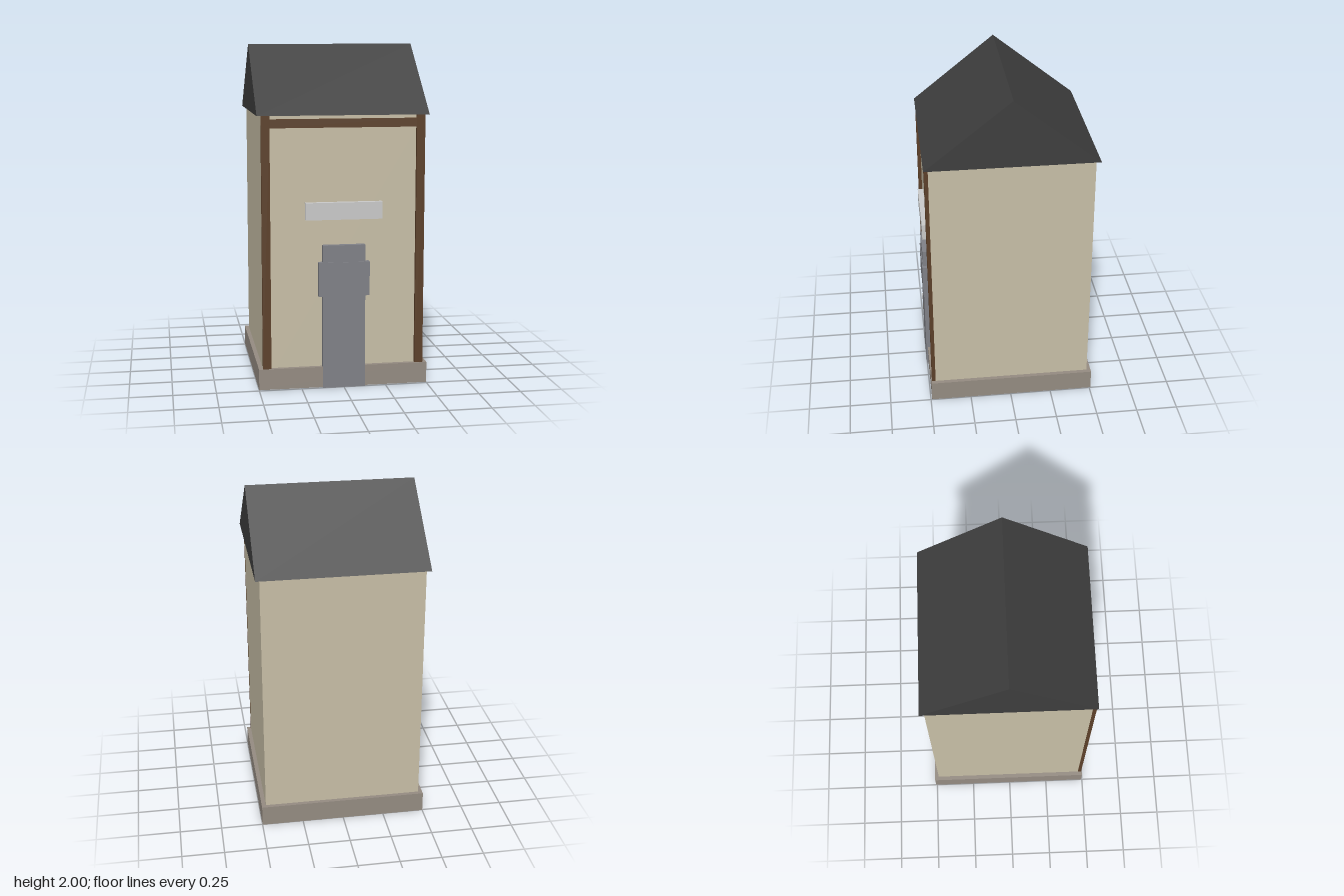
import * as THREE from 'three';

const material = (name, color) => {
  const m = new THREE.MeshStandardMaterial({ color });
  m.name = name;
  return m;
};

export function createModel() {
  const model = new THREE.Group();
  model.name = 'smallHouse';
  const plaster = material('cream plaster', 0xc8bfa7);
  const slate = material('dark slate', 0x3e3e3e);
  const timber = material('brown timber', 0x5c4029);
  const stone = material('grey stone', 0x958c82);
  const doorGrey = material('door grey', 0x808187);
  const signGrey = material('light sign grey', 0xcacaca);

  const zc = -0.0075; // centre of the house body

  // Box given by its minimum and maximum corners
  const box = (name, mat, [x0, y0, z0], [x1, y1, z1]) => {
    const mesh = new THREE.Mesh(new THREE.BoxGeometry(x1 - x0, y1 - y0, z1 - z0), mat);
    mesh.position.set((x0 + x1) / 2, (y0 + y1) / 2, (z0 + z1) / 2);
    mesh.name = name;
    model.add(mesh);
  };

  // Plinth and walls; the plinth sits a hair higher to keep the undersides apart
  box('plinth', stone, [-0.5, 0.002, zc - 0.5], [0.5, 0.125, zc + 0.5]);
  box('walls', plaster, [-0.475, 0, zc - 0.475], [0.475, 1.6, zc + 0.475]);

  // Timber frame on the front wall
  for (const side of [-1, 1]) {
    const inner = side * 0.427, outer = side * 0.476;
    box(side > 0 ? 'leftPost' : 'rightPost', timber,
      [Math.min(inner, outer), 0.12, 0.466], [Math.max(inner, outer), 1.6, 0.488]);
  }
  box('crossBeam', timber, [-0.427, 1.53, 0.466], [0.427, 1.58, 0.487]);

  // Door with its wider plate, and the sign board above
  box('door', doorGrey, [-0.125, 0, 0.46], [0.125, 0.85, 0.5025]);
  box('doorPlate', doorGrey, [-0.15, 0.55, 0.46], [0.15, 0.75, 0.5075]);
  box('signBoard', signGrey, [-0.225, 1.0, 0.46], [0.225, 1.1, 0.5025]);

  // Gable roof: triangle in z/y extruded along x
  const gable = new THREE.Shape();
  gable.moveTo(-0.5, 0);
  gable.lineTo(0.5, 0);
  gable.lineTo(0, 0.4);
  gable.closePath();
  const roofGeometry = new THREE.ExtrudeGeometry(gable, { depth: 1, bevelEnabled: false });
  roofGeometry.translate(0, 0, -0.5).rotateY(Math.PI / 2);
  const roof = new THREE.Mesh(roofGeometry, slate);
  roof.name = 'roof';
  roof.position.set(0, 1.6, zc);
  model.add(roof);

  return model;
}
